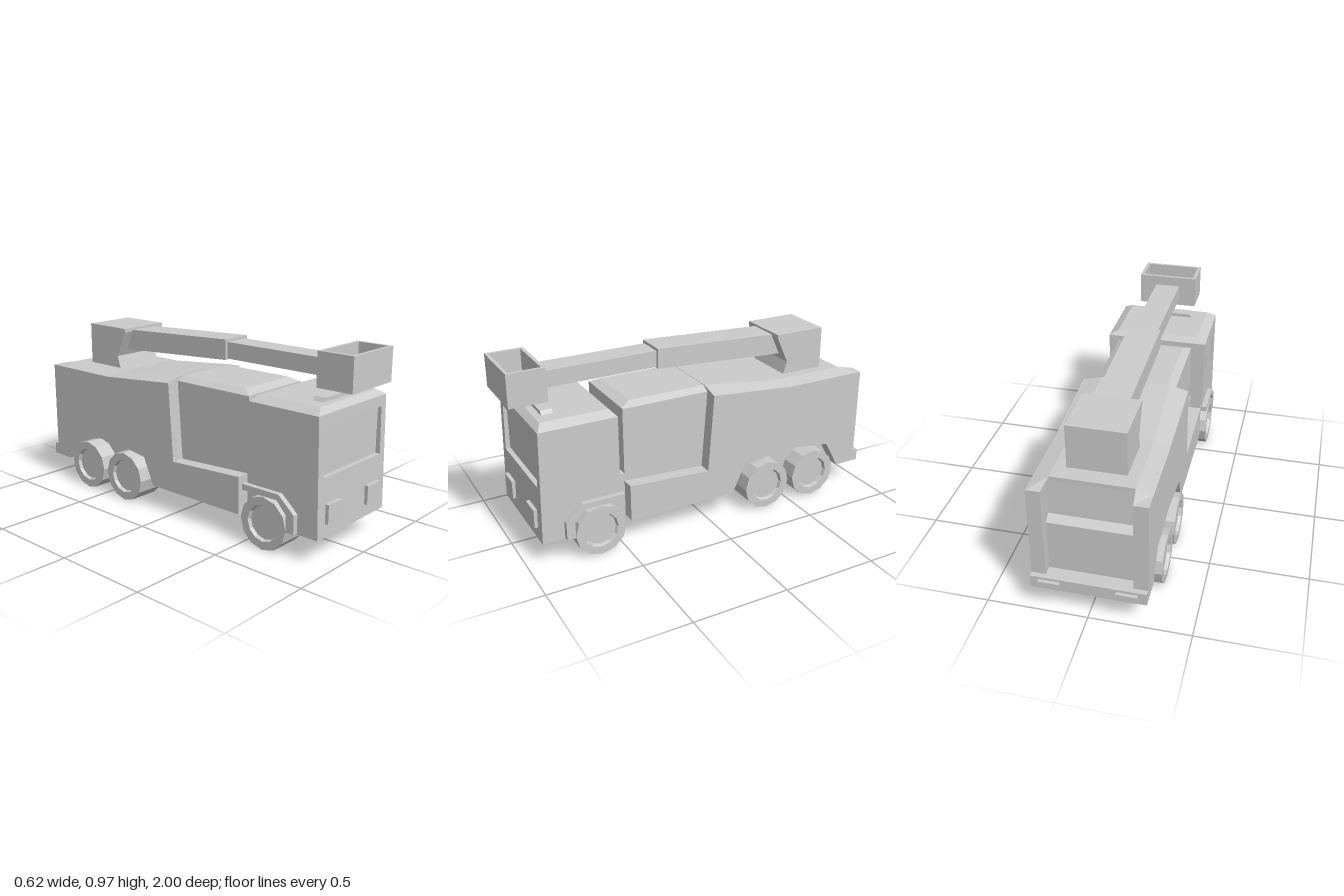
import * as THREE from 'three';

const mat = new THREE.MeshStandardMaterial({ color: 0xcccccc, flatShading: true });

export function createModel() {
  const root = new THREE.Group();
  const add = (name, geo) => {
    const m = new THREE.Mesh(geo, mat);
    m.name = name;
    root.add(m);
    return m;
  };
  // Box given by its limits on each axis
  const box = (name, x0, x1, y0, y1, z0, z1) =>
    add(name, new THREE.BoxGeometry(x1 - x0, y1 - y0, z1 - z0)
      .translate((x0 + x1) / 2, (y0 + y1) / 2, (z0 + z1) / 2));
  // Side profile of [z, y] points extruded from x0 to x1
  const toPath = (pts) => pts.map(([z, y]) => new THREE.Vector2(-z, y));
  const profile = (name, pts, x0, x1, holes = []) => {
    const s = new THREE.Shape(toPath(pts));
    holes.forEach((h) => s.holes.push(new THREE.Path(toPath(h))));
    const g = new THREE.ExtrudeGeometry(s, { depth: x1 - x0, bevelEnabled: false });
    return add(name, g.rotateY(Math.PI / 2).translate(x0, 0, 0));
  };
  // Skin over counter-clockwise [x, y] rings, listed from front to back
  const loft = (name, rings) => {
    const n = rings[0].pts.length, pos = [], idx = [];
    rings.forEach((r) => r.pts.forEach(([x, y]) => pos.push(x, y, r.z)));
    for (let k = 0; k < rings.length - 1; k++) {
      for (let i = 0; i < n; i++) {
        const j = (i + 1) % n, a = k * n, b = a + n;
        idx.push(a + i, b + i, a + j, a + j, b + i, b + j);
      }
    }
    const e = (rings.length - 1) * n;
    for (let i = 1; i < n - 1; i++) idx.push(0, i, i + 1, e, e + i + 1, e + i);
    const g = new THREE.BufferGeometry();
    g.setAttribute('position', new THREE.Float32BufferAttribute(pos, 3));
    g.setIndex(idx);
    const flat = g.toNonIndexed();
    flat.computeVertexNormals();
    return add(name, flat);
  };
  const trapezoid = (z, xe, ye, xt, yt) =>
    ({ z, pts: [[-xe, ye], [xe, ye], [xt, yt], [-xt, yt]] });

  // Cab core and windscreen panel
  box('cabCore', -0.265, 0.265, 0.28, 0.71, 0.512, 0.893);
  box('cabFloor', -0.21, 0.21, 0.125, 0.3, 0.51, 0.893);
  const rect = (a, b, c, d) => [[a, c], [b, c], [b, d], [a, d]].map((p) => new THREE.Vector2(...p));
  const front = new THREE.Shape(rect(-0.28, 0.28, 0.125, 0.71));
  front.holes.push(new THREE.Path(rect(-0.24, 0.24, 0.415, 0.655)));
  const fg = new THREE.ExtrudeGeometry(front, { depth: 0.03, bevelEnabled: false });
  const p = fg.attributes.position;
  for (let i = 0; i < p.count; i++) p.setZ(i, p.getZ(i) + 0.895 - (p.getY(i) - 0.125) * 0.025);
  add('cabFront', fg);
  loft('cabRoof', [
    trapezoid(0.91, 0.28, 0.71, 0.28, 0.7101), trapezoid(0.88, 0.28, 0.71, 0.23, 0.738),
    trapezoid(0.537, 0.28, 0.71, 0.23, 0.738), trapezoid(0.51, 0.28, 0.71, 0.28, 0.7101),
  ]);
  loft('lightBar', [
    trapezoid(0.845, 0.155, 0.735, 0.14, 0.757), trapezoid(0.785, 0.155, 0.735, 0.14, 0.757),
  ]);

  // Cab sides with window openings and wheel arch, then the fenders
  const cabSide = [[0.9, 0.125], [0.882, 0.71], [0.51, 0.71], [0.51, 0.28],
    [0.72, 0.28], [0.765, 0.22], [0.765, 0.125]];
  const doorWindow = [[0.847, 0.62], [0.64, 0.62], [0.64, 0.485], [0.847, 0.455]];
  const quarterWindow = [[0.6, 0.6], [0.547, 0.63], [0.547, 0.5], [0.6, 0.51]];
  const fender = [[0.81, 0.13], [0.81, 0.225], [0.72, 0.305], [0.5, 0.305],
    [0.5, 0.275], [0.71, 0.275], [0.765, 0.215], [0.765, 0.13]];
  // Body sides: low sill in front, full height with twin wheel arch behind
  const bodySide = [[0.455, 0.125], [0.455, 0.32], [0.01, 0.295], [-0.02, 0.71], [-0.49, 0.67],
    [-0.955, 0.67], [-0.955, 0.125], [-0.84, 0.125], [-0.755, 0.275], [-0.48, 0.31],
    [-0.21, 0.27], [-0.145, 0.125]];
  for (const s of [-1, 1]) {
    const pair = (a, b) => (s > 0 ? [a, b] : [-b, -a]);
    profile('cabSide', cabSide, ...pair(0.21, 0.28), [doorWindow, quarterWindow]);
    profile('fender', fender, ...pair(0.27, 0.308));
    profile('bodySide', bodySide, ...pair(0.21, 0.28));
    box('headlight', ...pair(0.11, 0.22), 0.19, 0.287, 0.9, 0.94);
    box('tailLight', ...pair(0.135, 0.238), 0.142, 0.177, -1, -0.97);
    // Sloping top of the rear post
    const post = [[[0.2, 0.67], [0.28, 0.67], [0.2, 0.69]], [[0.21, 0.67], [0.28, 0.67], [0.21, 0.671]]]
      .map((r) => (s > 0 ? r : r.map(([x, y]) => [-x, y]).reverse()));
    loft('rearPostTop', [{ z: -0.86, pts: post[0] }, { z: -0.955, pts: post[1] }]);
  }

  // Body core, with the stepped recess at the back
  box('cabLink', -0.21, 0.21, 0.125, 0.36, 0.44, 0.52);
  profile('bodyCore', [[0, 0.125], [0, 0.69], [-0.05, 0.69], [-0.47, 0.67], [-0.86, 0.67],
    [-0.87, 0.49], [-0.905, 0.46], [-0.905, 0.125]], -0.21, 0.21);
  const bay = (z, yt, xt) =>
    ({ z, pts: [[-0.21, 0.125], [0.21, 0.125], [0.21, 0.71], [xt, yt], [-xt, yt], [-0.21, 0.71]] });
  loft('frontBay', [bay(0.455, 0.712, 0.2), bay(0.4, 0.733, 0.17), bay(-0.03, 0.733, 0.17)]);
  loft('bodyRoof', [
    trapezoid(-0.02, 0.28, 0.709, 0.18, 0.735), trapezoid(-0.47, 0.28, 0.67, 0.2, 0.69),
    trapezoid(-0.86, 0.28, 0.67, 0.2, 0.69),
  ]);
  box('rearStep', -0.28, 0.28, 0.125, 0.19, -0.982, -0.955);
  box('recessFloor', -0.21, 0.21, 0.125, 0.19, -0.96, -0.9);

  // Wheels with sunken hubs
  const wheelPts = [[0, 0.145], [0.135, 0.145], [0.135, 0.308], [0.092, 0.308], [0.085, 0.29], [0, 0.29]]
    .map((q) => new THREE.Vector2(...q));
  const wheelGeo = new THREE.LatheGeometry(wheelPts, 12).rotateZ(-Math.PI / 2);
  for (const z of [0.63, -0.345, -0.645]) {
    for (const turn of [0, Math.PI]) {
      const w = add('wheel', wheelGeo);
      w.position.set(0, 0.135, z);
      w.rotation.y = turn;
    }
  }

  // Turret, two-stage boom and open basket
  profile('turret', [[-0.49, 0.915], [-0.49, 0.895], [-0.555, 0.755], [-0.53, 0.68],
    [-0.775, 0.68], [-0.775, 0.915]], -0.143, 0.143);
  profile('lowerBoom', [[0.195, 0.935], [0.195, 0.83], [-0.56, 0.787], [-0.56, 0.9]], -0.085, 0.085);
  box('upperBoom', -0.068, 0.068, 0.835, 0.92, 0.15, 0.82);
  const rim = new THREE.Shape(rect(-0.163, 0.163, -1, -0.808));
  rim.holes.push(new THREE.Path(rect(-0.146, 0.146, -0.983, -0.826)));
  add('basketWalls', new THREE.ExtrudeGeometry(rim, { depth: 0.17, bevelEnabled: false })
    .rotateX(-Math.PI / 2).translate(0, 0.803, 0));
  box('basketFloor', -0.15, 0.15, 0.803, 0.825, 0.82, 0.99);

  return root;
}
